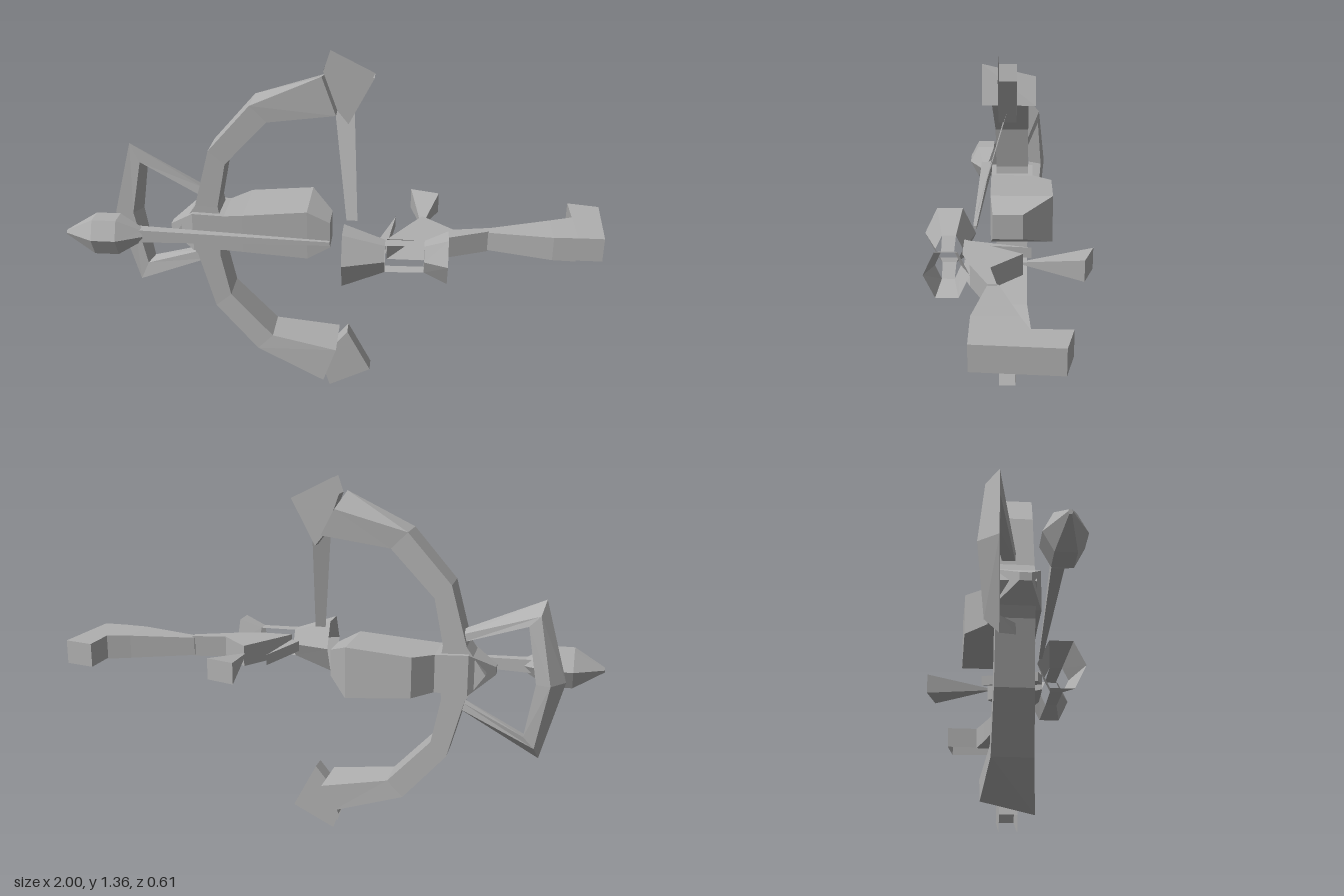
import * as THREE from 'three';

const MID = 0.68; // height of the symmetry plane

export function createModel() {
  const root = new THREE.Group();
  root.name = 'crossbow';
  const grey = new THREE.MeshStandardMaterial({ color: 0xb0b0b0, flatShading: true, side: THREE.DoubleSide });
  grey.name = 'grey';

  const add = (name, geometry) => {
    const mesh = new THREE.Mesh(geometry, grey);
    mesh.name = name;
    root.add(mesh);
  };

  // Skin a row of rings, optionally only some sides, and turn the faces outward
  function loft(rings, { start = true, end = true, sides = null } = {}) {
    const n = rings[0].length, tris = [], last = rings[rings.length - 1];
    for (let i = 0; i < rings.length - 1; i++) {
      for (let k = 0; k < n; k++) {
        if (sides && !sides.includes(k)) continue;
        const a = rings[i][k], b = rings[i][(k + 1) % n];
        const c = rings[i + 1][(k + 1) % n], d = rings[i + 1][k];
        tris.push([a, b, c], [a, c, d]);
      }
    }
    for (let k = 1; k < n - 1; k++) {
      if (start) tris.push([rings[0][0], rings[0][k + 1], rings[0][k]]);
      if (end) tris.push([last[0], last[k], last[k + 1]]);
    }
    const centre = new THREE.Vector3();
    rings.flat().forEach(p => centre.add(new THREE.Vector3(...p)));
    centre.divideScalar(rings.length * n);
    let volume = 0;
    for (const t of tris) {
      const [a, b, c] = t.map(p => new THREE.Vector3(...p).sub(centre));
      volume += a.dot(b.cross(c));
    }
    if (volume < 0) tris.forEach(t => t.reverse());
    const g = new THREE.BufferGeometry();
    g.setAttribute('position', new THREE.Float32BufferAttribute(tris.flat(2), 3));
    g.computeVertexNormals();
    return g;
  }

  // Rectangular section across the x axis
  const box = (x, halfY, z0, z1) => [
    [x, MID - halfY, z0], [x, MID + halfY, z0], [x, MID + halfY, z1], [x, MID - halfY, z1]];
  // Hexagonal section across the x axis
  const hex = (x, ry, rz, z) => Array.from({ length: 6 }, (_, k) => {
    const a = k * Math.PI / 3;
    return [x, MID + ry * Math.sin(a) / 0.866, z + rz * Math.cos(a)];
  });
  // Lying plate with an outline in x and z, from top to bottom
  const slab = (pts, y0, y1, options) =>
    loft([y1, y0].map(y => pts.map(([x, z]) => [x, y, z])), options);
  const open = { start: false, end: false };

  // Limbs, limb tips and stirrup arms, mirrored above and below
  for (const s of [1, -1]) {
    const side = s > 0 ? 'upper' : 'lower';
    const flip = rings => rings.map(r => r.map(([x, y, z]) => [x, MID + s * (y - MID), z]));
    // Limb section from outer and inner edge; drop lowers the outer back corner
    const section = (o, i, front, back, drop = 0) => [
      [...o, front], [...i, front], [...i, back], [o[0], o[1] - drop, back]];
    add(side + 'Limb', loft(flip([
      section([-0.59, 0.68], [-0.42, 0.68], 0.05, -0.08),
      section([-0.52, 0.78], [-0.435, 0.78], 0.05, -0.08),
      section([-0.46, 1.0], [-0.4, 0.95], 0.052, -0.08),
      section([-0.3, 1.18], [-0.24, 1.12], 0.065, -0.08),
      section([-0.04, 1.3], [0.01, 1.16], 0.09, -0.103, 0.045),
    ])));
    // Tip is open along its outer edge
    const tip = [[0.01, 1.16], [-0.04, 1.3], [-0.02, 1.36], [0.14, 1.28], [0.05, 1.11]];
    add(side + 'LimbTip', loft(flip([0.03, -0.035].map(z => tip.map(p => [...p, z]))),
      { sides: [0, 3, 4] }));
    add(side + 'StirrupArm', loft(flip([
      [[-0.5, 0.83, -0.01], [-0.5, 0.79, -0.01], [-0.5, 0.79, -0.055], [-0.5, 0.82, -0.055]],
      [[-0.79, 0.97, -0.085], [-0.755, 0.895, -0.08], [-0.735, 0.88, -0.125], [-0.775, 0.92, -0.13]],
      [[-0.87, 0.68, -0.09], [-0.8, 0.68, -0.085], [-0.77, 0.68, -0.14], [-0.82, 0.68, -0.155]],
    ])));
  }

  // Body with pointed nose and rear bulge
  add('body', loft([
    box(-0.62, 0.015, -0.01, 0.03),
    box(-0.53, 0.075, -0.1, 0.07),
    box(-0.41, 0.07, -0.1, 0.07),
    box(-0.34, 0.075, -0.175, 0.07),
    box(-0.1, 0.095, -0.175, 0.065),
    box(-0.015, 0.05, -0.06, 0.055),
  ]));

  // Bolt with faceted head
  add('boltHead', loft([
    hex(-1, 0.008, 0.008, 0.105), hex(-0.89, 0.068, 0.07, 0.105),
    hex(-0.8, 0.068, 0.07, 0.105), hex(-0.71, 0.02, 0.022, 0.105)]));
  add('boltShaft', loft([box(-0.74, 0.025, 0.08, 0.122), box(-0.01, 0.007, 0.115, 0.128)]));

  // String drawn back from the upper tip
  const string = new THREE.BufferGeometry();
  string.setAttribute('position', new THREE.Float32BufferAttribute([
    0, 1.15, 0, 0.05, 0.77, 0.11, 0.09, 0.77, 0.11, 0.07, 1.15, 0], 3));
  string.setIndex([0, 1, 2, 0, 2, 3]);
  string.computeVertexNormals();
  add('string', string);

  // Open hourglass collar, bridged by an upper and a lower strip
  add('collarLeft', loft([hex(0.045, 0.1, 0.095, 0.21), hex(0.195, 0.052, 0.05, 0.205)], open));
  add('collarBridge', loft([hex(0.195, 0.052, 0.05, 0.205), hex(0.335, 0.052, 0.045, 0.2)],
    { ...open, sides: [1, 4] }));
  add('collarRight', loft([hex(0.335, 0.052, 0.045, 0.2), hex(0.418, 0.085, 0.08, 0.2)], open));

  // Trigger hub, open towards the collar, with rear spur and fin
  add('hub', slab([[0.2, 0.15], [0.325, -0.06], [0.44, 0.05], [0.57, 0.025],
    [0.57, 0.055], [0.42, 0.12], [0.33, 0.15]], 0.64, 0.72, { sides: [0, 1, 2, 3, 4] }));
  add('spur', slab([[0.165, 0.13], [0.225, -0.09], [0.2, 0.15]], 0.66, 0.7));
  add('fin', loft([
    [[0.32, 0.68, -0.06], [0.33, 0.68, -0.06], [0.33, 0.69, -0.06], [0.32, 0.69, -0.06]],
    [[0.28, 0.645, -0.305], [0.39, 0.645, -0.27], [0.39, 0.725, -0.27], [0.28, 0.725, -0.305]],
  ]));

  // Stock widening to a butt that is open below
  add('stock', loft([
    box(0.56, 0.035, 0.02, 0.055), box(0.8, 0.045, -0.05, 0.1), box(0.885, 0.047, -0.08, 0.1)],
    { end: false }));
  add('butt', slab([[0.885, -0.21], [1, -0.185], [0.98, 0.1], [0.885, 0.1]], 0.637, 0.727, { end: false }));

  return root;
}
